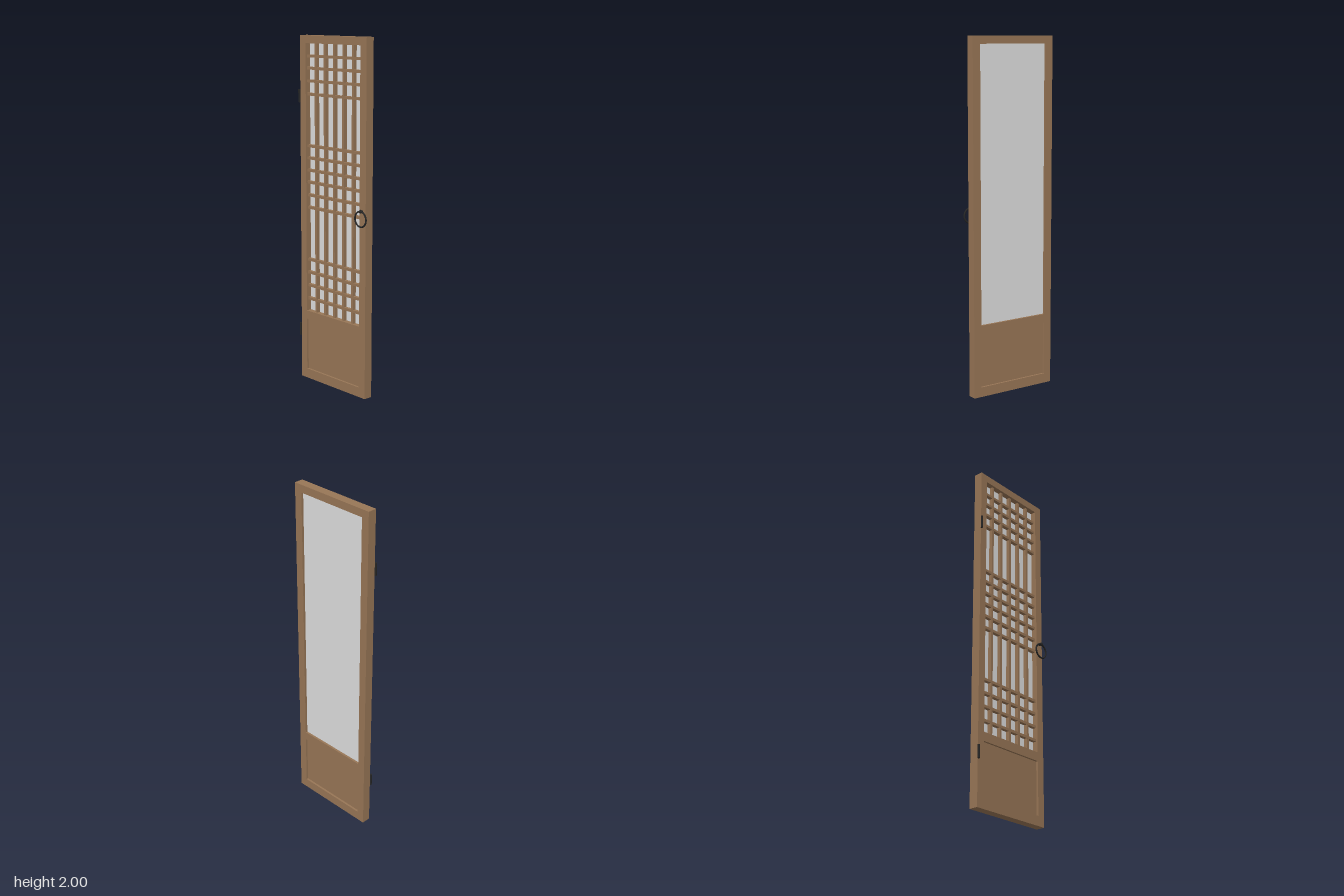
import * as THREE from 'three';

export function createModel() {
  const model = new THREE.Group();
  model.name = 'latticeDoor';

  const mat = (name, color) => {
    const m = new THREE.MeshStandardMaterial({ color });
    m.name = name;
    return m;
  };
  const wood = mat('wood', 0x987656);
  const paper = mat('paper', 0xdedede);
  const iron = mat('blackIron', 0x262626);

  const add = (name, geometry, material, parent = model) => {
    const mesh = new THREE.Mesh(geometry, material);
    mesh.name = name;
    parent.add(mesh);
    return mesh;
  };
  // Box given by its limits on each axis
  const box = (name, x0, x1, y0, y1, z0, z1, material, parent) =>
    add(name, new THREE.BoxGeometry(x1 - x0, y1 - y0, z1 - z0), material, parent)
      .position.set((x0 + x1) / 2, (y0 + y1) / 2, (z0 + z1) / 2);
  const rect = (Type, x0, x1, y0, y1) => new Type([
    new THREE.Vector2(x0, y0), new THREE.Vector2(x1, y0),
    new THREE.Vector2(x1, y1), new THREE.Vector2(x0, y1),
  ]);

  // Frame with a window opening and a panel opening
  const L = -0.227, R = 0.208, winBottom = 0.413, winTop = 1.956;
  const back = -0.04, front = 0.012;
  const outline = rect(THREE.Shape, -0.273, 0.255, 0, 2);
  outline.holes.push(
    rect(THREE.Path, L, R, winBottom, winTop),
    rect(THREE.Path, L, R, 0.056, 0.362));
  const frameGeo = new THREE.ExtrudeGeometry(outline, { depth: front - back, bevelEnabled: false });
  frameGeo.translate(0, 0, back);
  add('frame', frameGeo, wood);

  // Recessed lower panel and paper sheet behind the lattice
  box('lowerPanel', L, R, 0.056, 0.362, -0.028, 0.0, wood);
  box('paperSheet', L, R, winBottom, winTop, -0.027, -0.021, paper);

  // Lattice bars
  const lattice = new THREE.Group();
  lattice.name = 'lattice';
  model.add(lattice);
  const half = 0.0075;
  for (let i = 1; i <= 5; i++) {
    const x = L + (R - L) * i / 6 + (i - 3) * 0.002;
    box('verticalBar', x - half, x + half, winBottom, winTop, -0.021, 0.0, wood, lattice);
  }
  const rows = [0.485, 0.565, 0.642, 0.719, 1.026, 1.098, 1.172, 1.241, 1.312, 1.381,
    1.673, 1.747, 1.818, 1.885];
  for (const y of rows) {
    box('horizontalBar', L, R, y - half, y + half, -0.021, 0.0005, wood, lattice);
  }

  // Hinge barrels
  for (const y of [0.293, 1.663]) {
    add('hinge', new THREE.CylinderGeometry(0.0065, 0.0065, 0.074, 20), iron)
      .position.set(-0.273, y, 0.019);
  }

  // Ring pull hanging from a short post
  const handle = new THREE.Group();
  handle.name = 'ringPull';
  handle.position.set(0.23, 1.027, 0);
  model.add(handle);
  add('ring', new THREE.TorusGeometry(0.0425, 0.0047, 12, 48), iron, handle).position.z = 0.027;
  const post = add('post', new THREE.CylinderGeometry(0.0055, 0.0055, 0.027, 16), iron, handle);
  post.rotation.x = Math.PI / 2;
  post.position.set(0, 0.0425, 0.0235);
  const eye = add('ringEye', new THREE.TorusGeometry(0.0075, 0.0035, 10, 24), iron, handle);
  eye.rotation.y = Math.PI / 2;
  eye.position.set(0, 0.0425, 0.027);

  return model;
}
